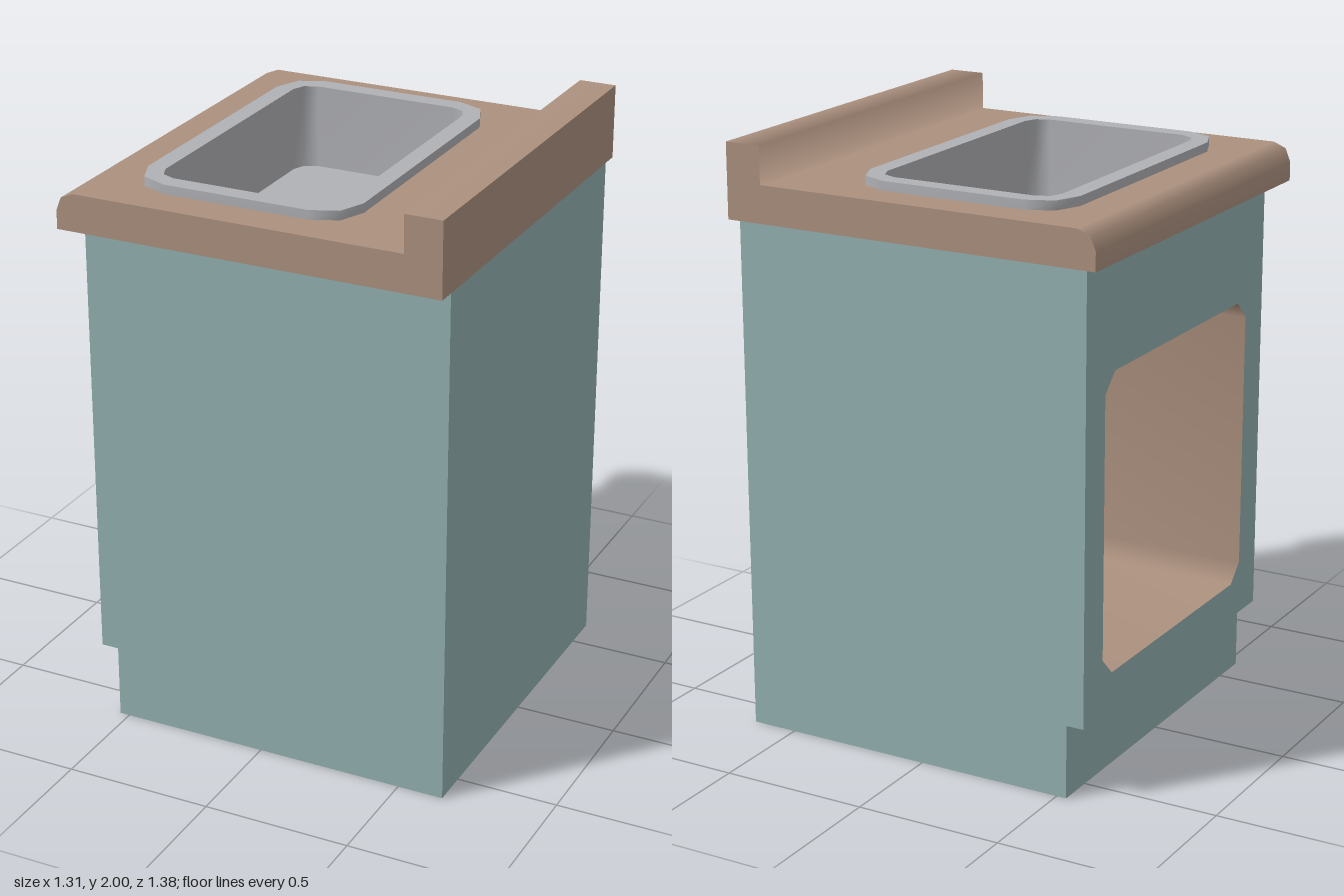
import * as THREE from 'three';

const teal = new THREE.MeshStandardMaterial({ color: 0x92b0af });
teal.name = 'cabinetTeal';
const brown = new THREE.MeshStandardMaterial({ color: 0xab907e });
brown.name = 'woodBrown';
const grey = new THREE.MeshStandardMaterial({ color: 0xb0b1b5 });
grey.name = 'sinkGrey';

// Rounded rectangle as counter-clockwise points
function ring(hx, hy, r, seg, cx = 0, cy = 0) {
  const pts = [];
  [[1, 1], [-1, 1], [-1, -1], [1, -1]].forEach(([sx, sy], k) => {
    for (let i = 0; i <= seg; i++) {
      const a = (k + i / seg) * Math.PI / 2;
      pts.push(new THREE.Vector2(cx + sx * (hx - r) + r * Math.cos(a), cy + sy * (hy - r) + r * Math.sin(a)));
    }
  });
  return pts;
}

function rect(x0, x1, y0, y1) {
  return [[x0, y0], [x1, y0], [x1, y1], [x0, y1]].map(p => new THREE.Vector2(...p));
}

// Flat face at height z, facing +z, with an optional hole
function face(pts, z = 0, hole = null) {
  const shape = new THREE.Shape(pts);
  if (hole) shape.holes.push(new THREE.Path(hole));
  return new THREE.ShapeGeometry(shape).translate(0, 0, z);
}

// Smooth wall swept along z; faces outward when z1 > z0, inward otherwise
function wall(pts, z0, z1) {
  const n = pts.length, pos = [], index = [];
  for (const z of [z0, z1]) for (const p of pts) pos.push(p.x, p.y, z);
  for (let i = 0; i < n; i++) {
    const j = (i + 1) % n;
    index.push(i, j, n + j, i, n + j, n + i);
  }
  const g = new THREE.BufferGeometry();
  g.setAttribute('position', new THREE.Float32BufferAttribute(pos, 3));
  g.setIndex(index);
  g.computeVertexNormals();
  return g;
}

// Strip along z through profile rows of [x, y, normalX, normalY]
function strip(rows, hz) {
  const pos = [], nor = [], index = [];
  rows.forEach(([x, y, nx, ny], i) => {
    const l = Math.hypot(nx, ny);
    for (const z of [-hz, hz]) {
      pos.push(x, y, z);
      nor.push(nx / l, ny / l, 0);
    }
    if (i) {
      const a = 2 * i - 2;
      index.push(a, a + 1, a + 3, a, a + 3, a + 2);
    }
  });
  const g = new THREE.BufferGeometry();
  g.setAttribute('position', new THREE.Float32BufferAttribute(pos, 3));
  g.setAttribute('normal', new THREE.Float32BufferAttribute(nor, 3));
  g.setIndex(index);
  return g;
}

export function createModel() {
  const model = new THREE.Group();
  model.name = 'sinkCabinet';
  const add = (name, geometry, material) => {
    const m = new THREE.Mesh(geometry, material);
    m.name = name;
    model.add(m);
  };
  const block = (name, x0, x1, y0, y1, hz, material) => add(name,
    new THREE.BoxGeometry(x1 - x0, y1 - y0, 2 * hz).translate((x0 + x1) / 2, (y0 + y1) / 2, 0), material);
  const toFront = g => g.rotateY(-Math.PI / 2).translate(-0.594, 0, 0);
  const toUp = g => g.rotateX(-Math.PI / 2);

  const back = 0.656, top = 1.75;

  // Cabinet sides with toe-kick notch
  const side = [[-0.534, 0], [back, 0], [back, top], [-0.594, top], [-0.594, 0.25], [-0.534, 0.25]]
    .map(p => new THREE.Vector2(...p));
  for (const [name, z] of [['sidePanelA', 0.565], ['sidePanelB', -0.625]]) {
    add(name, new THREE.ExtrudeGeometry(new THREE.Shape(side), { depth: 0.06, bevelEnabled: false })
      .translate(0, 0, z), teal);
  }
  block('backPanel', 0.6, back, 0, top, 0.565, teal);
  block('bottomPanel', -0.534, 0.6, 0, 0.05, 0.565, teal);
  block('toeKick', -0.534, -0.5, 0.05, 0.25, 0.565, teal);
  block('toeKickSoffit', -0.593, -0.5, 0.25, 0.29, 0.565, teal);

  // Front panel and the open compartment behind it
  const opening = ring(0.5, 0.5, 0.0625, 1, 0, 0.875);
  add('frontPanel', toFront(face(rect(-0.625, 0.625, 0.25, top), 0, opening)), teal);
  add('compartmentWalls', toFront(wall(opening, 0, -1.125)), brown);
  add('compartmentBack', toFront(face(opening, -1.125)), brown);

  // Countertop with rounded nose and raised backsplash
  const hz = 0.6875, deck = 1.875;
  const basin = ring(0.3125, 0.5, 0.0625, 2, -0.094);
  const nose = [[-0.656, 1.75, -1, 0], [-0.656, 1.813, -1, 0.25], [-0.638, 1.857, -1, 1], [-0.594, deck, 0, 1]];
  const splash = [[0.531, deck, -0.12, 1], [0.531, 2, -1, 1], [back, 2, 0, 1]];
  add('counterNose', strip(nose, hz), brown);
  add('backsplash', strip(splash, hz), brown);
  add('counterTop', toUp(face(rect(-0.594, 0.531, -hz, hz), deck, basin)), brown);
  add('counterUnderside', face(rect(-0.656, back, -hz, hz), 0, basin)
    .rotateX(Math.PI / 2).translate(0, top, 0), brown);
  add('counterBack', new THREE.PlaneGeometry(2 * hz, 0.25)
    .rotateY(Math.PI / 2).translate(back, 1.875, 0), brown);
  for (const s of [1, -1]) {
    const pts = [...nose, ...splash, [back, top]].map(p => new THREE.Vector2(s * p[0], p[1]));
    add(s > 0 ? 'counterEndA' : 'counterEndB', face(pts, hz).rotateY(s > 0 ? 0 : Math.PI), brown);
  }

  // Sink rim and basin
  const rim = ring(0.375, 0.5625, 0.125, 2, -0.094);
  add('sinkRimEdge', toUp(wall(rim, deck, 1.906)), grey);
  add('sinkRimTop', toUp(face(rim, 1.906, basin)), grey);
  add('basinWalls', toUp(wall(basin, 1.906, 1.62)), grey);
  add('basinFloor', toUp(face(basin, 1.62)), grey);

  return model;
}
